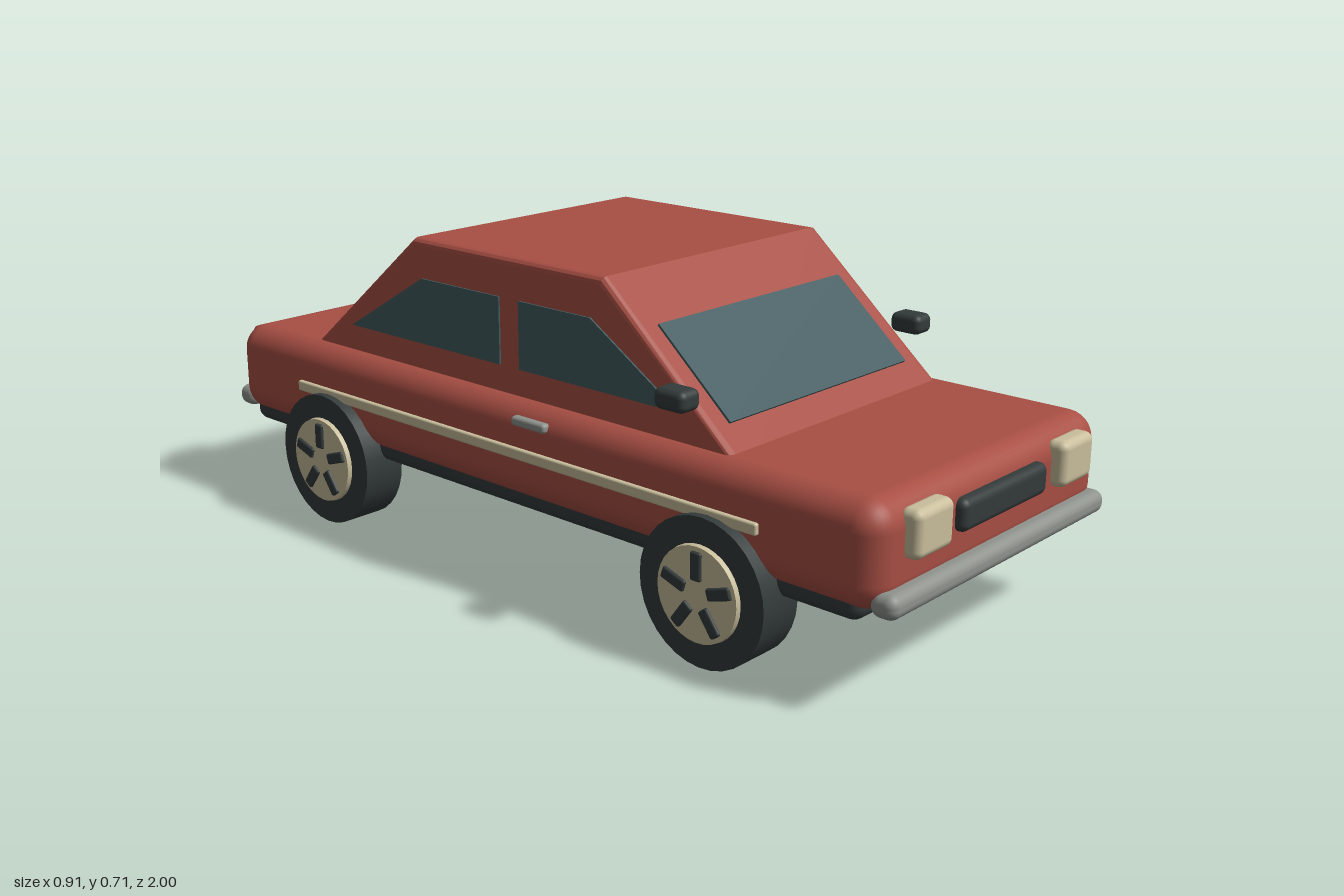
import * as THREE from 'three';
import { RoundedBoxGeometry } from 'three/addons/geometries/RoundedBoxGeometry.js';

const makeMaterial = (name, color) => {
  const m = new THREE.MeshStandardMaterial({ color });
  m.name = name;
  return m;
};

export function createModel() {
  const paint = makeMaterial('red paint', 0xa84f44);
  const tailRed = makeMaterial('tail light red', 0x9c3f38);
  const cream = makeMaterial('cream', 0xcabf9d);
  const charcoal = makeMaterial('charcoal', 0x343b3b);
  const chrome = makeMaterial('grey metal', 0x8f938d);
  const glass = makeMaterial('glass', 0x425c60);

  const car = new THREE.Group();
  car.name = 'car';

  const add = (name, geometry, material, parent = car) => {
    const mesh = new THREE.Mesh(geometry, material);
    mesh.name = name;
    parent.add(mesh);
    return mesh;
  };

  // Rounded box given by its extents on each axis
  const block = (name, [x0, x1], [y0, y1], [z0, z1], radius, material, parent) => {
    const g = new RoundedBoxGeometry(x1 - x0, y1 - y0, z1 - z0, 4, radius);
    g.translate((x0 + x1) / 2, (y0 + y1) / 2, (z0 + z1) / 2);
    return add(name, g, material, parent);
  };

  // Side profile in (z, y), extruded across x and centred on x
  const sideExtrude = (points, width, bevel = 0) => {
    const shape = new THREE.Shape(points.map(([z, y]) => new THREE.Vector2(z, y)));
    const g = new THREE.ExtrudeGeometry(shape, {
      depth: width - 2 * bevel, bevelEnabled: bevel > 0, bevelSize: bevel,
      bevelThickness: bevel, bevelOffset: -bevel, bevelSegments: 3,
    });
    g.translate(0, 0, bevel - width / 2);
    return g.rotateY(-Math.PI / 2);
  };

  // Lower body and underside
  block('body', [-0.41, 0.41], [0.2, 0.417], [-0.96, 0.97], 0.06, paint);
  block('underside', [-0.388, 0.388], [0.173, 0.25], [-0.93, 0.92], 0.028, charcoal);

  // Cabin, its foot sunk into the body
  add('cabin', sideExtrude([[0.635, 0.378], [0.25, 0.715], [-0.33, 0.715], [-0.738, 0.378]], 0.712, 0.016), paint);

  // Front and rear windows lying on the sloping faces
  const slopedWindow = (name, [zLow, yLow], [zHigh, yHigh], width) => {
    const dz = zHigh - zLow, dy = yHigh - yLow;
    const pane = add(name, new THREE.BoxGeometry(width, Math.hypot(dz, dy), 0.008), glass);
    pane.position.set(0, (yLow + yHigh) / 2, (zLow + zHigh) / 2);
    pane.rotation.x = Math.atan2(dz, dy);
  };
  slopedWindow('windscreen', [0.543, 0.46], [0.354, 0.625], 0.605);
  slopedWindow('rearWindow', [-0.645, 0.455], [-0.45, 0.616], 0.59);

  const frontPane = [[0.46, 0.477], [0.22, 0.627], [0.01, 0.627], [0.01, 0.477]];
  const rearPane = [[-0.05, 0.477], [-0.05, 0.627], [-0.3, 0.627], [-0.555, 0.477]];

  // Parts paired on both sides
  for (const [side, s] of [['left', 1], ['right', -1]]) {
    const span = (a, b) => (s > 0 ? [a, b] : [-b, -a]);
    for (const [name, pane] of [['FrontSideWindow', frontPane], ['RearSideWindow', rearPane]]) {
      add(side + name, sideExtrude(pane, 0.008), glass).position.x = s * 0.356;
    }
    block(side + 'Headlight', span(0.2, 0.322), [0.298, 0.396], [0.95, 1], 0.018, cream);
    block(side + 'TailLight', span(0.215, 0.345), [0.33, 0.396], [-0.99, -0.95], 0.016, tailRed);
    block(side + 'SideTrim', span(0.4, 0.42), [0.3, 0.325], [-0.7, 0.705], 0.005, cream);
    block(side + 'DoorHandle', span(0.395, 0.418), [0.373, 0.394], [0.04, 0.14], 0.008, chrome);
    block(side + 'Mirror', span(0.37, 0.43), [0.5, 0.545], [0.452, 0.53], 0.016, charcoal);
  }

  // Front and rear fittings
  block('grille', [-0.155, 0.155], [0.302, 0.37], [0.95, 0.992], 0.018, charcoal);
  block('frontBumper', [-0.392, 0.392], [0.2, 0.25], [0.94, 1], 0.022, chrome);
  block('rearBumper', [-0.392, 0.392], [0.2, 0.25], [-0.995, -0.935], 0.022, chrome);
  block('rearPlate', [-0.085, 0.085], [0.23, 0.285], [-1, -0.95], 0.008, cream);

  // Wheels: tyre, cream disc and five dark spokes, built facing +x
  const makeWheel = (name) => {
    const wheel = new THREE.Group();
    wheel.name = name;
    const radius = 0.157;
    add('tyre', new THREE.CylinderGeometry(radius, radius, 0.104, 32).rotateZ(-Math.PI / 2), charcoal, wheel);
    const disc = new THREE.CylinderGeometry(0.1, 0.102, 0.014, 32).rotateZ(-Math.PI / 2);
    add('wheelDisc', disc, cream, wheel).position.x = 0.056;
    for (let i = 0; i < 5; i++) {
      const spoke = block('spoke', [0.056, 0.07], [0.03, 0.09], [-0.013, 0.013], 0.005, charcoal, wheel);
      spoke.rotation.x = (i * Math.PI * 2) / 5;
    }
    return wheel;
  };
  for (const [end, z] of [['front', 0.587], ['rear', -0.583]]) {
    for (const [side, s] of [['Left', 1], ['Right', -1]]) {
      const wheel = makeWheel(end + side + 'Wheel');
      wheel.position.set(s * 0.386, 0.157, z);
      if (s < 0) wheel.rotation.y = Math.PI;
      car.add(wheel);
    }
  }

  return car;
}
